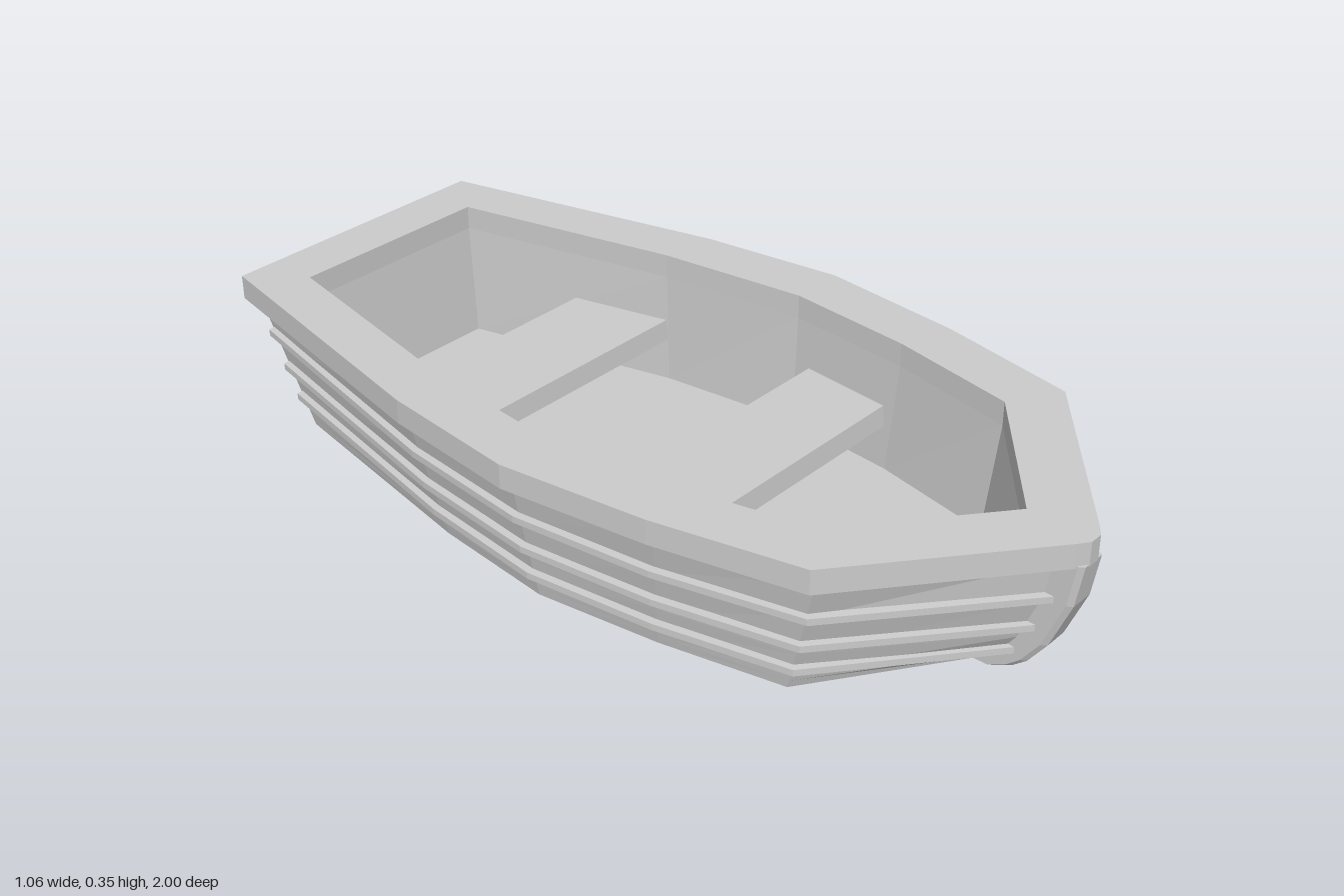
import * as THREE from 'three';

const material = new THREE.MeshStandardMaterial({ color: 0xcccccc, flatShading: true });

// Half outlines [x, z] from stern to bow on the left side
const HULL_BOTTOM = [[0.285, -0.86], [0.4, -0.3], [0.435, 0], [0.4, 0.29], [0.345, 0.57], [0, 0.8]];
const HULL_TOP = [[0.315, -0.975], [0.465, -0.33], [0.5, 0], [0.465, 0.335], [0.39, 0.66], [0, 0.97]];
const FLOOR = [[0.235, -0.855], [0.355, -0.34], [0.39, 0], [0.36, 0.28], [0.295, 0.575], [0, 0.82]];
const RIM_IN = [[0.245, -0.88], [0.36, -0.35], [0.4, 0], [0.368, 0.3], [0.305, 0.6], [0, 0.85]];
const RIM_OUT = [[0.34, -1], [0.49, -0.33], [0.53, 0], [0.49, 0.34], [0.42, 0.67], [0.04, 0.982], [0.015, 1]];
// Curved stem profile [y, z]
const STEM = [[0, 0.83], [0.02, 0.87], [0.045, 0.9], [0.1, 0.94], [0.21, 0.985], [0.305, 1]];
const RIM_Y = 0.3, RIM_H = 0.055, FLOOR_Y = 0.04;

// Full outline: right side stern to bow, then left side back to stern
function mirror(half) {
  const right = half.map(([x, ...rest]) => [-x, ...rest]);
  const left = half.filter(([x]) => x > 0).reverse();
  return [...right, ...left];
}

const ringAt = (outline, y) => outline.map(([x, z]) => [x, y, z]);

// Skin closed rings of [x, y, z], with optional flat caps
function loft(rings, capStart, capEnd) {
  const pos = [];
  const tri = (a, b, c) => pos.push(...a, ...b, ...c);
  const n = rings[0].length;
  for (let i = 0; i < rings.length - 1; i++) {
    for (let j = 0; j < n; j++) {
      const k = (j + 1) % n;
      tri(rings[i][j], rings[i][k], rings[i + 1][k]);
      tri(rings[i][j], rings[i + 1][k], rings[i + 1][j]);
    }
  }
  const first = rings[0], last = rings[rings.length - 1];
  for (let j = 1; j < n - 1; j++) {
    if (capStart) tri(first[0], first[j + 1], first[j]);
    if (capEnd) tri(last[0], last[j], last[j + 1]);
  }
  const geo = new THREE.BufferGeometry();
  geo.setAttribute('position', new THREE.Float32BufferAttribute(pos, 3));
  geo.computeVertexNormals();
  return geo;
}

function stemZ(y) {
  const i = Math.max(1, STEM.findIndex(([h]) => h >= y));
  const [y0, z0] = STEM[i - 1], [y1, z1] = STEM[i];
  return z0 + (z1 - z0) * (y - y0) / (y1 - y0);
}

// Hull half outline at height y; the bow point follows the stem
function hullAt(y) {
  const t = y / RIM_Y;
  return HULL_BOTTOM.map(([x, z], i) => {
    if (x === 0) return [0, stemZ(y) - 0.03];
    return [x + (HULL_TOP[i][0] - x) * t, z + (HULL_TOP[i][1] - z) * t];
  });
}

export function createModel() {
  const group = new THREE.Group();
  const add = (name, geo) => {
    const mesh = new THREE.Mesh(geo, material);
    mesh.name = name;
    group.add(mesh);
  };

  // Outer shell with flat bottom
  const levels = [0, 0.02, 0.045, 0.1, 0.21, RIM_Y];
  add('hull', loft(levels.map(y => ringAt(mirror(hullAt(y)), y)), true, false));

  // Inner walls and floor
  add('interior', loft([ringAt(mirror(RIM_IN), RIM_Y), ringAt(mirror(FLOOR), FLOOR_Y)], false, true));

  // Gunwale with open middle
  const toShape = half => mirror(half).map(([x, z]) => new THREE.Vector2(x, -z));
  const rim = new THREE.Shape(toShape(RIM_OUT));
  rim.holes.push(new THREE.Path(toShape(RIM_IN)));
  const rimGeo = new THREE.ExtrudeGeometry(rim, { depth: RIM_H, bevelEnabled: false });
  add('gunwale', rimGeo.rotateX(-Math.PI / 2).translate(0, RIM_Y, 0));

  // Stem post at the bow
  add('stem', loft(STEM.map(([y, z]) => ringAt(
    [[-0.036, z - 0.09], [-0.036, z - 0.012], [-0.028, z], [0.028, z], [0.036, z - 0.012], [0.036, z - 0.09]], y)), true, true));

  // Raised strakes along both sides, rising a little at the stern
  const outward = [[1, 0], [1, -0.1], [1, 0], [1, 0.1], [0.75, 0.6], [0, 1.1]];
  const rise = [0.014, 0.006, 0.002, 0, 0, 0];
  for (const y of [0.062, 0.133, 0.213]) {
    const half = hullAt(y).map(([x, z], i) => [x, z, ...outward[i], y + rise[i]]);
    const right = half.map(([x, z, dx, dz, h]) => [-x, z, -dx, dz, h]);
    const path = [...right, ...half.slice(0, -1).reverse()];
    const profile = [[-0.012, 0.009], [0.019, 0.007], [0.019, -0.008], [-0.012, -0.009]];
    add('strake', loft(path.map(([x, z, dx, dz, h]) =>
      profile.map(([o, dy]) => [x + dx * o, h + dy, z + dz * o])), true, true));
  }

  // Two bench seats, fitted between the walls
  const seat = (name, back, front) => {
    const lower = [back, [front[0], front[1] + 0.006]];
    add(name, loft([ringAt(mirror(lower), 0.142), ringAt(mirror([back, front]), 0.19)], true, true));
  };
  seat('rearSeat', [0.308, -0.585], [0.364, -0.35]);
  seat('middleSeat', [0.397, 0.04], [0.373, 0.263]);

  return group;
}
